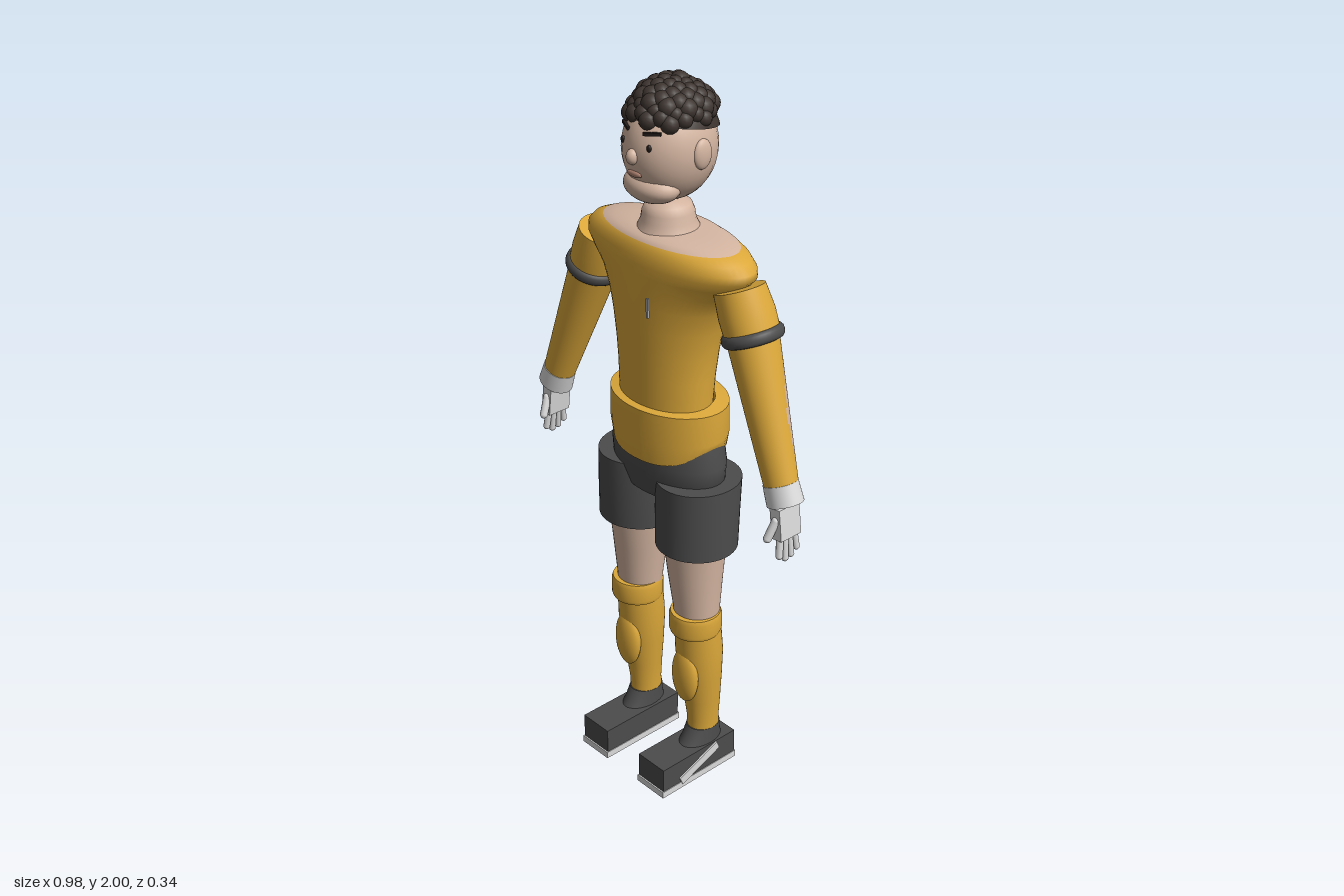
import * as THREE from 'three';

const paint = (name, color) => {
  const m = new THREE.MeshStandardMaterial({ color });
  m.name = name;
  return m;
};

// Smooth skin over elliptical rings [y, halfX, halfZ, centreX, centreZ], listed bottom to top.
// lift(angle) raises the first ring; pick(x, y, angle) chooses material 0 or 1 for each quad.
function loft(rows, { seg = 40, lift, pick = () => 0 } = {}) {
  const pos = [], sets = [[], []];
  rows.forEach(([y, hx, hz, cx = 0, cz = 0], i) => {
    for (let j = 0; j < seg; j++) {
      const t = (j / seg) * Math.PI * 2;
      pos.push(cx + hx * Math.cos(t), y + (i === 0 && lift ? lift(t) : 0), cz + hz * Math.sin(t));
    }
  });
  for (let i = 0; i < rows.length - 1; i++) {
    for (let j = 0; j < seg; j++) {
      const a = i * seg + j, b = i * seg + (j + 1) % seg, c = a + seg, d = b + seg;
      const k = pick((rows[i][0] + rows[i + 1][0]) / 2, ((j + 0.5) / seg) * Math.PI * 2);
      sets[k].push(a, c, b, b, c, d);
    }
  }
  const g = new THREE.BufferGeometry();
  g.setAttribute('position', new THREE.Float32BufferAttribute(pos, 3));
  g.setIndex([...sets[0], ...sets[1]]);
  g.addGroup(0, sets[0].length, 0);
  g.addGroup(sets[0].length, sets[1].length, 1);
  g.computeVertexNormals();
  return g;
}

// Closes both ends of a ring list with flat, sharp-edged caps
function capped(rows) {
  const first = rows[0], last = rows[rows.length - 1];
  const tip = (r) => [r[0], 0.0005, 0.0005, r[3], r[4]];
  return [tip(first), first, first.slice(), ...rows.slice(1, -1), last, last.slice(), tip(last)];
}

export function createModel() {
  const skin = paint('skin', 0xd4b5a1);
  const yellow = paint('jerseyYellow', 0xdca83a);
  const dark = paint('charcoal', 0x4c4c4d);
  const hair = paint('hairBrown', 0x3d342f);
  const white = paint('gloveWhite', 0xdadada);
  const grey = paint('markGrey', 0xa9a9a9);
  const black = paint('featureBlack', 0x231d1b);
  const lip = paint('lip', 0xb08472);

  const model = new THREE.Group();
  const add = (parent, name, geo, mat, x = 0, y = 0, z = 0) => {
    const m = new THREE.Mesh(geo, mat);
    m.name = name;
    m.position.set(x, y, z);
    parent.add(m);
    return m;
  };
  const ball = (parent, name, mat, r, p) => {
    const m = add(parent, name, new THREE.SphereGeometry(1, 28, 20), mat, ...p);
    m.scale.set(...r);
    return m;
  };
  const box = (parent, name, mat, s, p) => add(parent, name, new THREE.BoxGeometry(...s), mat, ...p);

  // Torso with bare shoulders above the neckline
  add(model, 'torso', loft([
    [1.1, 0.138, 0.098], [1.165, 0.142, 0.1], [1.24, 0.145, 0.105, 0, -0.003],
    [1.31, 0.152, 0.111, 0, -0.006], [1.38, 0.166, 0.116, 0, -0.009], [1.44, 0.186, 0.12, 0, -0.012],
    [1.49, 0.215, 0.122, 0, -0.014], [1.525, 0.255, 0.123, 0, -0.015], [1.55, 0.28, 0.122, 0, -0.015],
    [1.57, 0.279, 0.12, 0, -0.015], [1.59, 0.258, 0.115, 0, -0.015], [1.605, 0.222, 0.107, 0, -0.015],
    [1.614, 0.175, 0.097, 0, -0.015], [1.62, 0.12, 0.08, 0, -0.015], [1.622, 0.05, 0.045, 0, -0.013],
  ], { seg: 56, pick: (y) => (y > 1.605 ? 1 : 0) }), [yellow, skin]);

  // Jersey hem, dipping at front and back
  const hemRows = [[1.01, 0.172, 0.124], [1.075, 0.179, 0.131], [1.16, 0.177, 0.131], [1.16, 0.177, 0.131], [1.166, 0.137, 0.098]];
  const hem = add(model, 'jerseyHem', loft(hemRows, { lift: (t) => 0.048 * Math.cos(t) ** 4 }), yellow, 0, 0, -0.012);
  hem.material = yellow.clone();
  hem.material.side = THREE.DoubleSide;

  // Shorts seat
  add(model, 'shortsSeat', loft(capped([[0.9, 0.15, 0.095], [0.95, 0.183, 0.108], [1.0, 0.186, 0.112], [1.07, 0.17, 0.112]])), dark, 0, 0, -0.01);

  // Neck
  add(model, 'neck', new THREE.LatheGeometry(
    [[0.088, 1.6], [0.078, 1.62], [0.069, 1.64], [0.066, 1.66], [0.058, 1.68], [0.035, 1.692], [0.0005, 1.695]]
      .map(([r, y]) => new THREE.Vector2(r, y)), 32), skin, 0, 0, -0.008);

  // Head and face
  const head = new THREE.Group();
  head.name = 'head';
  model.add(head);
  const faceZ = (x, y) => -0.013 + 0.122 * Math.sqrt(1 - (x / 0.113) ** 2 - ((y - 1.825) / 0.135) ** 2);
  ball(head, 'skull', skin, [0.113, 0.135, 0.122], [0, 1.825, -0.013]);
  ball(head, 'jaw', skin, [0.083, 0.042, 0.058], [0, 1.737, 0.046]);
  ball(head, 'nose', skin, [0.016, 0.02, 0.018], [0, 1.822, 0.106]);
  ball(head, 'mouth', lip, [0.026, 0.008, 0.006], [0, 1.778, faceZ(0, 1.778) + 0.001]);
  for (const s of [-1, 1]) {
    ball(head, 'ear', skin, [0.014, 0.038, 0.028], [s * 0.109, 1.827, -0.017]);
    ball(head, 'eye', black, [0.007, 0.009, 0.005], [s * 0.046, 1.851, faceZ(0.046, 1.851)]);
    const brow = box(head, 'eyebrow', black, [0.045, 0.008, 0.008], [s * 0.046, 1.884, faceZ(0.046, 1.884) + 0.001]);
    brow.rotation.set(0, s * 0.45, s * 0.1);
  }

  // Hair: a tilted cap covered in curls
  const cap = add(head, 'hairCap', new THREE.SphereGeometry(1, 36, 16, 0, Math.PI * 2, 0, Math.PI * 0.365), hair, 0, 1.83, -0.015);
  cap.scale.set(0.118, 0.138, 0.127);
  cap.rotation.x = -0.17;
  const curl = new THREE.SphereGeometry(1, 14, 10);
  const count = 72;
  for (let i = 0; i < count; i++) {
    const v = 1 - 0.66 * ((i + 0.5) / count), t = i * 2.39996, q = Math.sqrt(1 - v * v);
    const c = add(head, 'curl', curl, hair, 0.098 * q * Math.cos(t), 1.868 + 0.106 * v, -0.02 + 0.108 * q * Math.sin(t));
    c.scale.setScalar(0.021 + 0.006 * ((i * 7) % 5) / 4);
  }

  // Marks on chest and back
  box(model, 'chestMark', grey, [0.006, 0.052, 0.006], [0.085, 1.468, 0.138]);
  box(model, 'backMark', grey, [0.02, 0.145, 0.008], [0, 1.378, -0.167]);

  for (const s of [1, -1]) {
    const side = new THREE.Group();
    side.name = s > 0 ? 'leftLimbs' : 'rightLimbs';
    side.scale.x = s;
    model.add(side);

    // Arm along a tilted axis, with a bare patch behind the forearm
    const arm = new THREE.Group();
    arm.name = 'arm';
    arm.position.set(0.43, 1.06, 0);
    arm.rotation.z = 0.366;
    side.add(arm);
    const rows = [];
    for (let i = 0; i <= 30; i++) {
      const k = i / 30;
      rows.push([k * 0.4, 0.045 + 0.021 * k, 0.041 + 0.027 * k, 0, 0.008 - 0.024 * k]);
    }
    const patch = (y, t) => (Math.hypot((y - 0.18) / 0.12, (t - 1.7 * Math.PI) / 0.62) < 1 ? 1 : 0);
    add(arm, 'forearm', loft(rows, { seg: 48, pick: patch }), [yellow, skin]);
    add(arm, 'sleeve', loft(capped([[0.38, 0.068, 0.07, 0, -0.016], [0.44, 0.069, 0.072, 0, -0.014], [0.505, 0.063, 0.066, 0, -0.01]])), yellow);
    const band = add(arm, 'armband', new THREE.TorusGeometry(0.066, 0.012, 12, 40), dark, 0, 0.385, -0.016);
    band.rotation.x = Math.PI / 2;
    band.scale.set(1, 1.03, 1.4);
    add(arm, 'cuff', loft(capped([[-0.036, 0.05, 0.045, 0, 0.008], [0.018, 0.047, 0.043, 0, 0.008]])), white);

    // Gloved hand
    const hand = new THREE.Group();
    hand.name = 'hand';
    side.add(hand);
    box(hand, 'palm', white, [0.034, 0.085, 0.07], [0.445, 0.978, 0.008]).rotation.z = 0.12;
    for (let f = 0; f < 4; f++) {
      const len = [0.045, 0.058, 0.062, 0.05][f];
      const finger = add(hand, 'finger', new THREE.CapsuleGeometry(0.0095, len, 5, 10), white, 0.453, 0.94 - len / 2, -0.02 + f * 0.018);
      finger.rotation.set((1.5 - f) * 0.08, 0, 0.1);
    }
    add(hand, 'thumb', new THREE.CapsuleGeometry(0.011, 0.05, 5, 10), white, 0.44, 0.965, 0.051).rotation.set(-0.4, 0, -0.15);

    // Leg, shorts leg and sock
    add(side, 'shortsLeg', loft(capped([[0.757, 0.111, 0.109, 0.113, -0.006], [0.86, 0.112, 0.112, 0.113, -0.008], [0.955, 0.11, 0.116, 0.113, -0.012]])), dark);
    add(side, 'thigh', loft([[0.48, 0.06, 0.058, 0.116, -0.008], [0.56, 0.065, 0.063, 0.114, -0.007], [0.66, 0.075, 0.074, 0.11, -0.006], [0.78, 0.086, 0.087, 0.108, -0.005]]), skin);
    add(side, 'sockTop', loft(capped([[0.484, 0.068, 0.068, 0.118, 0], [0.495, 0.072, 0.072, 0.118, 0], [0.535, 0.072, 0.072, 0.118, 0], [0.547, 0.068, 0.068, 0.118, 0]])), yellow);
    add(side, 'sock', loft([
      [0.13, 0.041, 0.048, 0.12, -0.032], [0.18, 0.042, 0.046, 0.12, -0.03], [0.25, 0.049, 0.052, 0.12, -0.026],
      [0.33, 0.058, 0.06, 0.119, -0.02], [0.41, 0.065, 0.066, 0.118, -0.015], [0.5, 0.064, 0.064, 0.117, -0.009],
    ]), yellow);
    ball(side, 'shinGuard', yellow, [0.046, 0.086, 0.025], [0.118, 0.345, 0.037]);

    // Boot with sole, studs and outer stripe
    add(side, 'bootCollar', loft(capped([[0.1, 0.045, 0.073, 0.12, -0.017], [0.125, 0.043, 0.06, 0.12, -0.024], [0.155, 0.042, 0.05, 0.12, -0.031]])), dark);
    box(side, 'boot', dark, [0.102, 0.074, 0.27], [0.118, 0.071, 0.028]);
    box(side, 'sole', white, [0.106, 0.02, 0.278], [0.118, 0.025, 0.028]);
    for (const z of [0.115, 0.04, -0.04]) {
      add(side, 'stud', new THREE.CylinderGeometry(0.01, 0.008, 0.016, 12), grey, 0.118, 0.008, z);
    }
    box(side, 'bootStripe', white, [0.006, 0.026, 0.15], [0.171, 0.067, 0.03]).rotation.x = 0.38;
  }
  return model;
}
